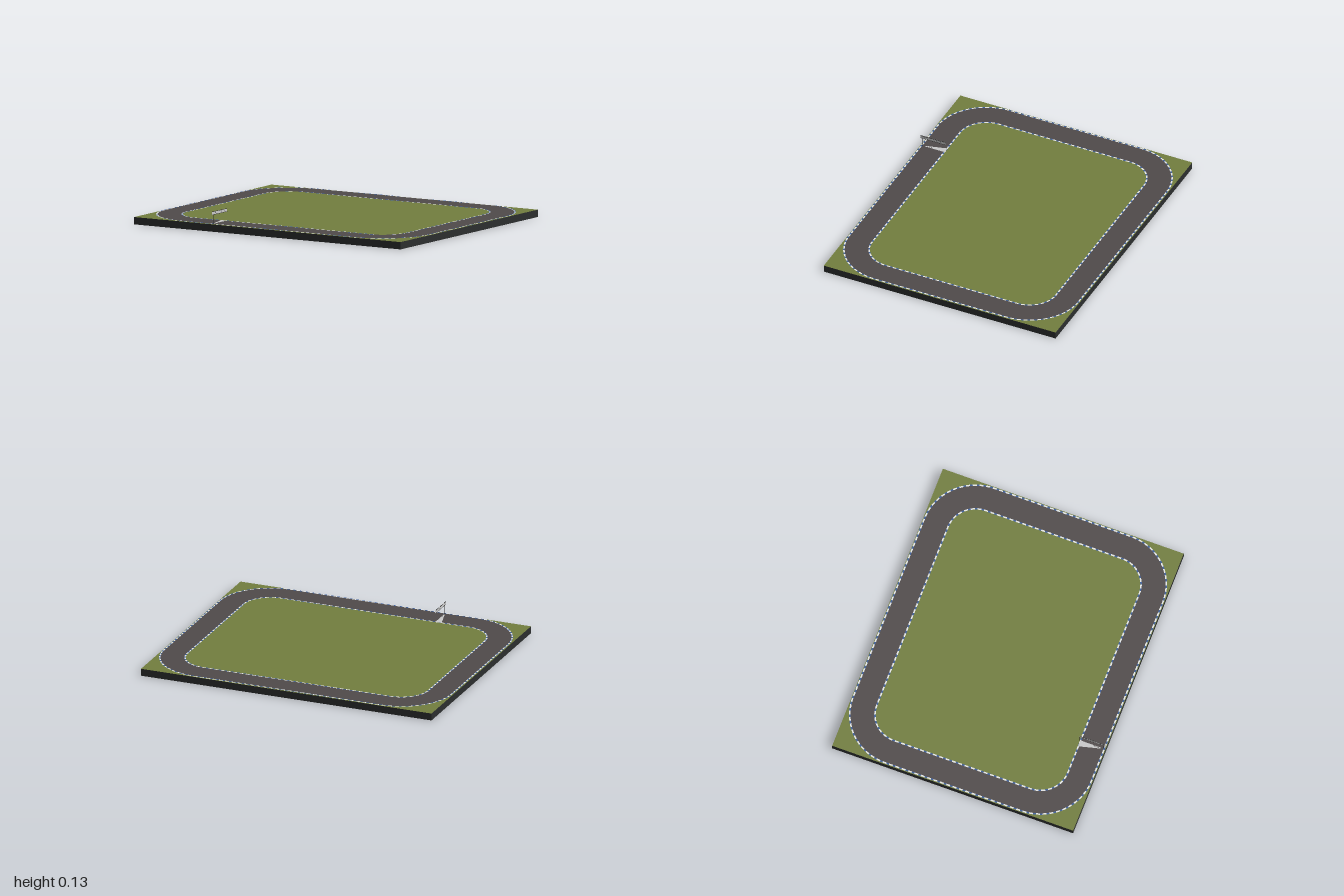
import * as THREE from 'three';

const mat = (name, color, side = THREE.FrontSide) => {
  const m = new THREE.MeshStandardMaterial({ color, side });
  m.name = name;
  return m;
};

// Rounded rectangle outline with half sizes hx, hz and corner radius r
function roundedRect(hx, hz, r, Type = THREE.Shape) {
  const p = new Type();
  p.moveTo(hx, 0);
  p.lineTo(hx, hz - r);
  p.absarc(hx - r, hz - r, r, 0, Math.PI / 2);
  p.lineTo(-hx + r, hz);
  p.absarc(-hx + r, hz - r, r, Math.PI / 2, Math.PI);
  p.lineTo(-hx, -hz + r);
  p.absarc(-hx + r, -hz + r, r, Math.PI, Math.PI * 1.5);
  p.lineTo(hx - r, -hz);
  p.absarc(hx - r, -hz + r, r, Math.PI * 1.5, Math.PI * 2);
  p.lineTo(hx, 0);
  return p;
}

// Flat dashes along an outline; each covers the fraction from..to of its step
function dashes(path, count, from, to, width, y) {
  const pos = [], idx = [];
  for (let i = 0; i < count; i++) {
    for (const f of [from, to]) {
      const t = Math.min((i + f) / count, 1);
      const p = path.getPointAt(t), d = path.getTangentAt(t);
      for (const s of [-1, 1]) {
        pos.push(p.x - d.y * s * width / 2, y, p.y + d.x * s * width / 2);
      }
    }
    const a = i * 4;
    idx.push(a, a + 1, a + 2, a + 1, a + 3, a + 2);
  }
  const g = new THREE.BufferGeometry();
  g.setAttribute('position', new THREE.Float32BufferAttribute(pos, 3));
  g.setIndex(idx);
  g.computeVertexNormals();
  // keep every dash facing up
  if (g.attributes.normal.getY(0) < 0) {
    g.setIndex(idx.reverse());
    g.computeVertexNormals();
  }
  return g;
}

export function createModel() {
  const group = new THREE.Group();
  const soil = mat('dark base', 0x2c2e2e);
  const grass = mat('grass green', 0x727e3f);
  const asphalt = mat('asphalt', 0x504b4a);
  const white = mat('kerb white', 0xe4e6e6);
  const blue = mat('kerb blue', 0x3d5f9c);
  const pale = mat('gate pale grey', 0xcacaca, THREE.DoubleSide);
  const dark = mat('gate dark', 0x2a2a2a, THREE.DoubleSide);

  const add = (name, geometry, material, x = 0, y = 0, z = 0) => {
    const m = new THREE.Mesh(geometry, material);
    m.name = name;
    m.position.set(x, y, z);
    group.add(m);
    return m;
  };

  // Base slab with a grass top
  const top = 0.047, depth = 1.634;
  add('base', new THREE.BoxGeometry(2, top, depth),
    [soil, soil, grass, soil, soil, soil], 0, top / 2, 0);

  // Road ring
  const ring = roundedRect(0.99, 0.808, 0.345);
  ring.holes.push(roundedRect(0.83, 0.648, 0.185, THREE.Path));
  add('road', new THREE.ShapeGeometry(ring, 24).rotateX(-Math.PI / 2), asphalt, 0, top + 0.0012, 0);

  // Striped kerbs on both edges of the road
  for (const [name, hx, hz, r] of [['outerKerb', 0.99, 0.808, 0.345], ['innerKerb', 0.83, 0.648, 0.185]]) {
    const path = roundedRect(hx, hz, r);
    const count = Math.round(path.getLength() / 0.043);
    add(name + 'White', dashes(path, count, 0, 0.6, 0.01, top + 0.0024), white);
    add(name + 'Blue', dashes(path, count, 0.6, 1, 0.01, top + 0.0024), blue);
  }

  // Start marking: a pale wedge with a chequered tip
  const wedge = new THREE.Shape([
    new THREE.Vector2(-0.456, -0.645), new THREE.Vector2(-0.42, -0.785),
    new THREE.Vector2(-0.413, -0.785), new THREE.Vector2(-0.413, -0.645)]);
  add('startMarking', new THREE.ShapeGeometry(wedge).rotateX(-Math.PI / 2), pale, 0, top + 0.0028, 0);
  for (let i = 0; i < 3; i++) {
    add('startCheck', new THREE.PlaneGeometry(0.004, 0.006).rotateX(-Math.PI / 2), dark,
      -0.418 + (i % 2) * 0.003, top + 0.0034, 0.74 + i * 0.014);
  }

  // Start gate: flat banner across the road on thin posts
  const gateX = -0.414;
  const panel = (name, z0, z1, y0, y1, material, dx = 0) =>
    add(name, new THREE.PlaneGeometry(z1 - z0, y1 - y0).rotateY(Math.PI / 2), material,
      gateX + dx, (y0 + y1) / 2, (z0 + z1) / 2);
  panel('gateBanner', 0.639, 0.817, 0.107, 0.128, pale);
  for (const dx of [-0.001, 0.001]) {
    panel('bannerLowerEdge', 0.639, 0.817, 0.107, 0.1095, dark, dx);
    panel('bannerUpperEdge', 0.639, 0.817, 0.1255, 0.128, dark, dx);
    for (const z of [0.675, 0.70, 0.78]) {
      panel('bannerCheck', z, z + 0.006, 0.117, 0.121, dark, dx);
    }
  }
  for (const z of [0.64, 0.8]) panel('gatePost', z - 0.0015, z + 0.0015, top, 0.107, dark);

  return group;
}
